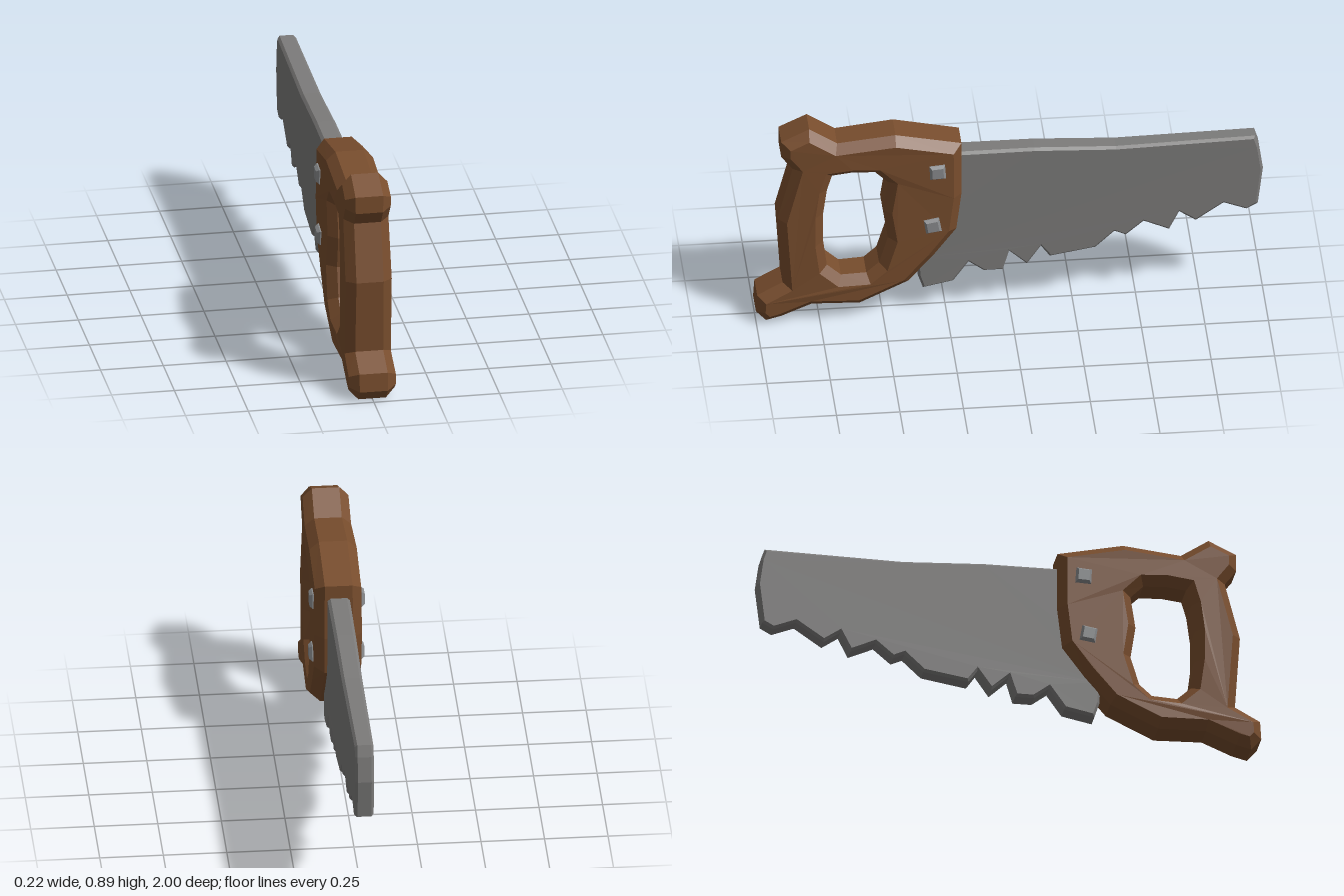
import * as THREE from 'three';

const wood = new THREE.MeshStandardMaterial({ color: 0x784d2d, flatShading: true });
wood.name = 'brown wood';
const steel = new THREE.MeshStandardMaterial({ color: 0x7c7b7a, flatShading: true });
steel.name = 'grey steel';
const boltSteel = new THREE.MeshStandardMaterial({ color: 0x8a8c8e, flatShading: true });
boltSteel.name = 'light bolt steel';

const toPoints = (list) => list.map(([z, y]) => new THREE.Vector2(z, y));

// Chamfered plate from a side profile of [z, y] points, centred on x = 0.
// widthAt(z, y) scales the thickness.
function plate(name, profile, halfWidth, chamferX, chamferIn, material, { hole, widthAt } = {}) {
  const shape = new THREE.Shape(toPoints(profile));
  if (hole) shape.holes.push(new THREE.Path(toPoints(hole)));
  const depth = 2 * (halfWidth - chamferX);
  const geometry = new THREE.ExtrudeGeometry(shape, {
    depth, bevelEnabled: true, bevelSegments: 1,
    bevelThickness: chamferX, bevelSize: chamferIn, bevelOffset: -chamferIn,
  });
  geometry.translate(0, 0, -depth / 2);
  geometry.rotateY(-Math.PI / 2);
  if (widthAt) {
    const p = geometry.attributes.position;
    for (let i = 0; i < p.count; i++) p.setX(i, p.getX(i) * widthAt(p.getZ(i), p.getY(i)));
    geometry.computeVertexNormals();
  }
  const mesh = new THREE.Mesh(geometry, material);
  mesh.name = name;
  return mesh;
}

export function createModel() {
  const saw = new THREE.Group();
  saw.name = 'handSaw';

  // Wooden handle with horns at the top and bottom and a grip opening
  const handleProfile = [
    [0.995, 0.12], [1, 0.045], [0.96, 0], [0.9, 0.015], [0.78, 0.065], [0.59, 0.06],
    [0.4, 0.15], [0.3, 0.265], [0.21, 0.385], [0.19, 0.55], [0.19, 0.785], [0.45, 0.84],
    [0.68, 0.815], [0.79, 0.888], [0.9, 0.835], [0.9, 0.765], [0.855, 0.705],
    [0.915, 0.475], [0.895, 0.175],
  ];
  const gripOpening = [
    [0.7, 0.665], [0.62, 0.675], [0.53, 0.67], [0.48, 0.62], [0.5, 0.49], [0.48, 0.36],
    [0.515, 0.245], [0.565, 0.2], [0.665, 0.195], [0.72, 0.245], [0.735, 0.36],
    [0.735, 0.49], [0.72, 0.6],
  ];
  saw.add(plate('handle', handleProfile, 0.094, 0.038, 0.034, wood, {
    hole: gripOpening,
    widthAt: (z, y) => 0.98 + 0.025 * Math.sin(13 * z + 9 * y),
  }));

  // Blade with an uneven toothed lower edge, slightly thinner at the tip
  const bladeProfile = [
    [0.28, 0.73], [-0.1, 0.73], [-0.42, 0.715], [-0.97, 0.727], [-0.985, 0.68], [-1, 0.575],
    [-0.98, 0.41], [-0.935, 0.385], [-0.845, 0.42], [-0.735, 0.345], [-0.67, 0.39],
    [-0.63, 0.31], [-0.53, 0.355], [-0.46, 0.295], [-0.415, 0.315], [-0.34, 0.245],
    [-0.16, 0.215], [-0.125, 0.265], [-0.07, 0.185], [0, 0.25], [0.025, 0.165],
    [0.1, 0.165], [0.16, 0.21], [0.22, 0.125], [0.34, 0.1], [0.36, 0.16], [0.365, 0.25],
    [0.28, 0.45],
  ];
  saw.add(plate('blade', bladeProfile, 0.045, 0.012, 0.01, steel, {
    widthAt: (z) => 0.96 + 0.14 * Math.min(z, 0.2),
  }));

  // Square bolts that pass through the handle
  const h = 0.033;
  const boltProfile = [[-h, -h * 0.9], [h * 0.9, -h], [h, h * 0.85], [-h * 0.85, h]];
  [['upperBolt', 0.287, 0.68, 0], ['lowerBolt', 0.307, 0.43, 0.1]].forEach(([name, z, y, turn]) => {
    const bolt = plate(name, boltProfile, 0.109, 0.012, 0.009, boltSteel);
    bolt.position.set(0, y, z);
    bolt.rotation.x = turn;
    saw.add(bolt);
  });

  return saw;
}
